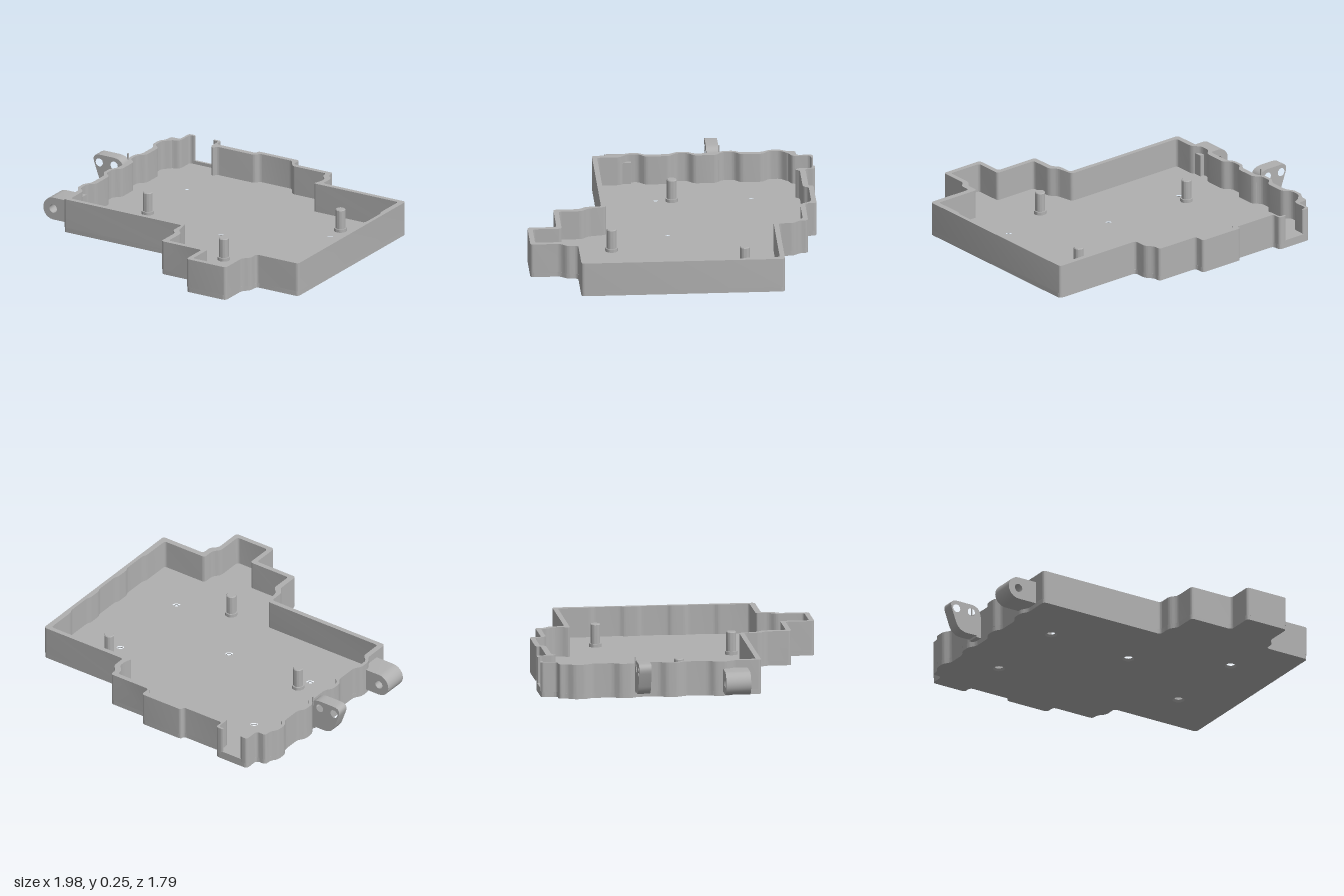
import * as THREE from 'three';
import { toCreasedNormals } from 'three/addons/utils/BufferGeometryUtils.js';

const grey = new THREE.MeshStandardMaterial({ color: 0xb0b0b0 });
grey.name = 'grey plastic';

const FLOOR = 0.03, SINK = 0.012, TOP = 0.21;

// Plan outline as [x, z], starting and ending at the gap in the back wall
const outer = [
  [-0.53, -0.9], [-0.48, -0.9], [-0.48, -0.84], [-0.2, -0.84], [-0.2, -0.87], [0.09, -0.87],
  [0.09, -0.8], [0.37, -0.8], [0.37, -0.75], [0.41, -0.71], [0.41, -0.62], [0.995, -0.62],
  [0.995, 0.605], [0.7, 0.605], [0.7, 0.67], [0.66, 0.71], [0.66, 0.89], [0.38, 0.89],
  [0.38, 0.715], [0.095, 0.715], [0.095, 0.56], [0.06, 0.52], [0.06, 0.425], [-0.775, 0.425],
  ...bumps(-0.775, -0.805),
  [-0.775, -0.8], [-0.71, -0.8], [-0.71, -0.9], [-0.66, -0.9],
];
const inner = [
  [-0.53, -0.885], [-0.492, -0.885], [-0.492, -0.8], [-0.47, -0.775], [-0.45, -0.805], [-0.19, -0.805],
  [-0.17, -0.84], [0.055, -0.84], [0.1, -0.77], [0.34, -0.77], [0.34, -0.73], [0.38, -0.69],
  [0.38, -0.64], [0.36, -0.59], [0.96, -0.59],
  ...ripples(),
  [0.96, 0.57], [0.665, 0.57], [0.665, 0.65], [0.63, 0.69], [0.63, 0.86], [0.41, 0.86],
  [0.41, 0.685], [0.13, 0.685], [0.13, 0.545], [0.09, 0.505], [0.07, 0.395], [-0.742, 0.395],
  ...bumps(-0.742, -0.785),
  [-0.742, -0.755], [-0.695, -0.775], [-0.695, -0.885], [-0.66, -0.885],
];

// Four outward bulges along the right wall, from front to back
function bumps(x, xOut) {
  return [0.18, -0.115, -0.395, -0.675].flatMap((z) => [
    [x, z + 0.075], [xOut, z + 0.035], [xOut, z - 0.035], [x, z - 0.075],
  ]);
}

// Shallow recesses on the inside of the left wall
function ripples() {
  return [-0.29, -0.005, 0.28].flatMap((z) => [
    [0.96, z - 0.1], [0.972, z - 0.08], [0.972, z + 0.08], [0.96, z + 0.1],
  ]);
}

// Closed shape with every corner rounded
function roundedShape(points, r) {
  const shape = new THREE.Shape();
  const v = points.map((p) => new THREE.Vector2(...p));
  v.forEach((p, i) => {
    const toward = (q) => {
      const d = q.clone().sub(p);
      return p.clone().addScaledVector(d, Math.min(r / d.length(), 0.45));
    };
    const a = toward(v[(i + v.length - 1) % v.length]);
    const b = toward(v[(i + 1) % v.length]);
    if (i === 0) shape.moveTo(a.x, a.y);
    else shape.lineTo(a.x, a.y);
    shape.quadraticCurveTo(p.x, p.y, b.x, b.y);
  });
  shape.closePath();
  return shape;
}

function addHole(shape, x, y, r) {
  shape.holes.push(new THREE.Path().absarc(x, y, r, 0, Math.PI * 2, true));
}

function extrude(shape, depth) {
  const g = new THREE.ExtrudeGeometry(shape, { depth, bevelEnabled: false, curveSegments: 6 });
  return toCreasedNormals(g, 0.6);
}

// Extrude a plan shape upward between two heights
function slab(shape, y0, y1) {
  return extrude(shape, y1 - y0).rotateX(-Math.PI / 2).translate(0, y0, 0);
}

const plan = (pts) => pts.map(([x, z]) => [x, -z]);

export function createModel() {
  const model = new THREE.Group();
  model.name = 'tray';
  const add = (name, geometry, x = 0, y = 0, z = 0) => {
    const m = new THREE.Mesh(geometry, grey);
    m.name = name;
    m.position.set(x, y, z);
    model.add(m);
  };

  // Floor in two layers, with countersunk screw holes from below
  const holes = [[-0.485, -0.515], [-0.485, 0.06], [0.09, 0.025], [0.66, -0.3], [0.66, 0.275]];
  const lower = roundedShape(plan(outer), 0.025);
  const upper = roundedShape(plan(outer), 0.025);
  for (const [x, z] of holes) {
    addHole(lower, x, -z, 0.036);
    addHole(upper, x, -z, 0.024);
    const cone = [new THREE.Vector2(0.024, SINK), new THREE.Vector2(0.036, 0)];
    add('countersink', new THREE.LatheGeometry(cone, 24), x, 0, z);
  }
  add('floorBottom', slab(lower, 0, SINK));
  add('floorTop', slab(upper, SINK, FLOOR));

  // Wall running round the floor, open at the gap, with a low sill there
  const ring = [...outer, ...inner.slice().reverse()];
  add('wall', slab(roundedShape(plan(ring), 0.02), FLOOR, TOP));
  add('gapSill', new THREE.BoxGeometry(0.15, 0.02, 0.015), -0.595, FLOOR + 0.01, -0.8925);

  // Standing pins with a collar at the foot
  for (const [x, z] of [[0.67, -0.4], [-0.465, -0.035], [0.33, 0.38]]) {
    const profile = [[0.038, 0], [0.038, 0.02], [0.03, 0.02], [0.03, 0.135], [0.026, 0.14], [0, 0.14]];
    const pin = new THREE.LatheGeometry(profile.map((p) => new THREE.Vector2(...p)), 28);
    add('pin', toCreasedNormals(pin, 0.6), x, FLOOR, z);
  }

  // Rear lug with two holes
  const rear = roundedShape([[-1.005, 0.235], [-0.795, 0.235], [-0.772, 0.15], [-0.772, 0.04], [-0.935, 0.04]], 0.06);
  addHole(rear, -0.95, 0.185, 0.026);
  addHole(rear, -0.845, 0.185, 0.026);
  add('rearLug', extrude(rear, 0.075), 0, 0, -0.34);
  add('rearLugRoot', new THREE.BoxGeometry(0.05, 0.14, 0.075), -0.785, 0.1, -0.3025);
  add('blade', new THREE.BoxGeometry(0.008, 0.06, 0.008), -0.794, 0.22, -0.34);

  // Front lug with a round end and one hole
  const front = new THREE.Shape();
  front.moveTo(-0.757, 0.025);
  front.lineTo(-0.757, 0.165);
  front.lineTo(-0.9, 0.165);
  front.absarc(-0.9, 0.095, 0.07, Math.PI / 2, Math.PI * 1.5, false);
  front.closePath();
  addHole(front, -0.9, 0.095, 0.027);
  add('frontLug', extrude(front, 0.15), 0, 0, 0.19);

  return model;
}
